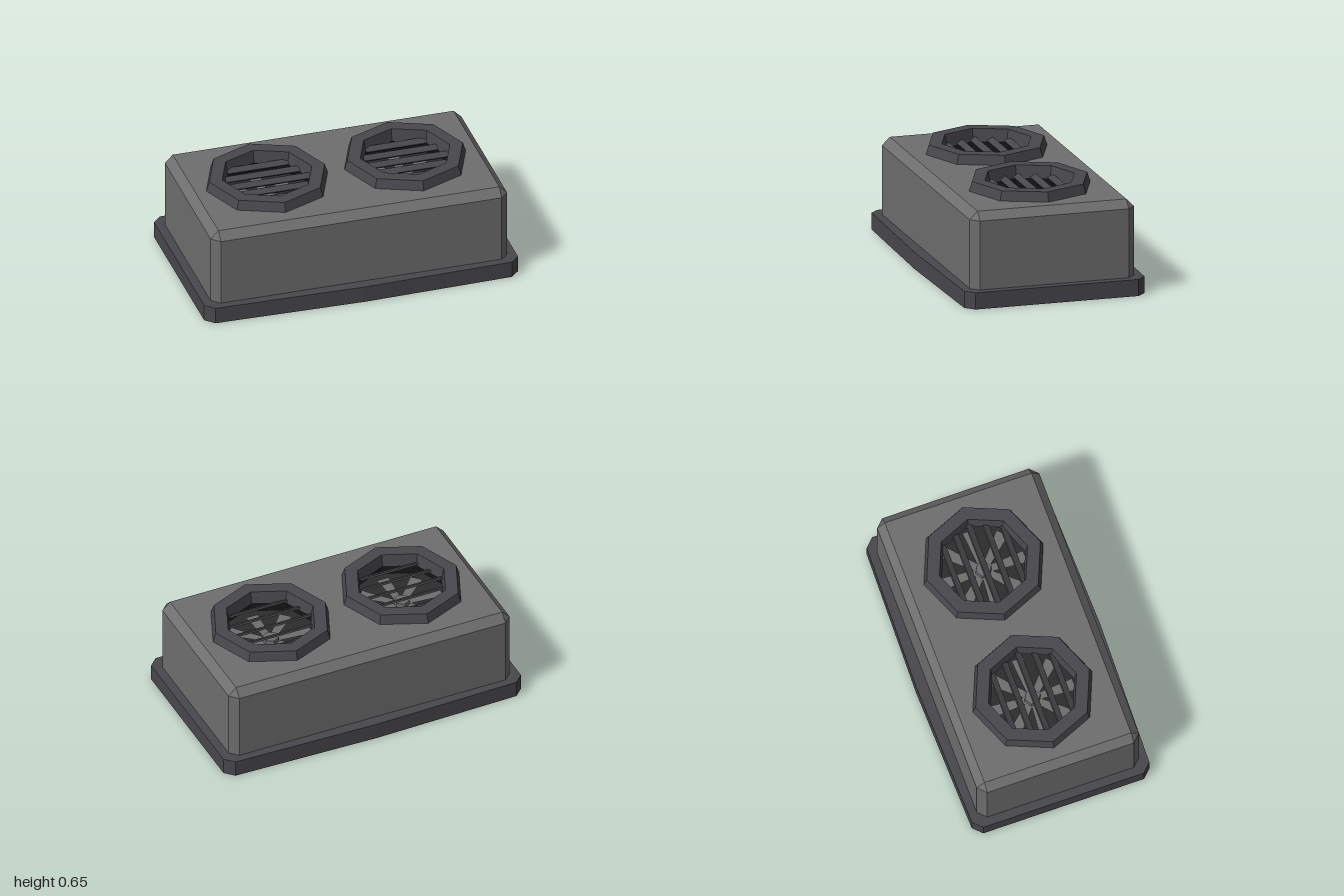
import * as THREE from 'three';

const material = (name, color) => {
  const m = new THREE.MeshStandardMaterial({ color, side: THREE.DoubleSide, flatShading: true });
  m.name = name;
  return m;
};

// Chamfered rectangle in ten points, with optional bulge at the middle of the long sides
function loop(y, hx, hz, chamfer, bulge = 0) {
  const half = [[hx, hz - chamfer], [hx - chamfer, hz], [0, hz + bulge], [chamfer - hx, hz], [-hx, hz - chamfer]];
  return [...half, ...half.map(([x, z]) => [-x, -z])].map(([x, z]) => [x, y, z]);
}

// Joins successive loops with flat quads
function loft(loops) {
  const pos = [];
  for (let k = 0; k < loops.length - 1; k++) {
    const a = loops[k], b = loops[k + 1], n = a.length;
    for (let i = 0; i < n; i++) {
      const j = (i + 1) % n;
      pos.push(...a[i], ...b[i], ...b[j], ...a[i], ...b[j], ...a[j]);
    }
  }
  const g = new THREE.BufferGeometry();
  g.setAttribute('position', new THREE.Float32BufferAttribute(pos, 3));
  g.computeVertexNormals();
  return g;
}

function add(parent, name, geometry, mat, x = 0, y = 0, z = 0) {
  const m = new THREE.Mesh(geometry, mat);
  m.name = name;
  m.position.set(x, y, z);
  parent.add(m);
  return m;
}

export function createModel() {
  const model = new THREE.Group();
  model.name = 'ventUnit';
  const grey = material('casing grey', 0x6e6e6e);
  const frame = material('frame charcoal', 0x48474c);
  const dark = material('recess black', 0x2c2c2c);
  const FAN_X = 0.44, TOP = 0.59;

  // Open skirt with a flat flange, and the hollow casing standing on it
  add(model, 'baseSkirt', loft([
    loop(0, 1, 0.575, 0.055, 0.022), loop(0.105, 1, 0.575, 0.055, 0.022), loop(0.105, 0.945, 0.525, 0.05),
  ]), frame);
  add(model, 'casingWalls', loft([
    loop(0.105, 0.945, 0.525, 0.05), loop(0.54, 0.945, 0.525, 0.05), loop(TOP, 0.895, 0.475, 0),
  ]), grey);

  // Roof with two octagonal openings
  const roof = new THREE.Shape([[-0.895, -0.475], [0.895, -0.475], [0.895, 0.475], [-0.895, 0.475]]
    .map(([x, y]) => new THREE.Vector2(x, y)));
  for (const s of [-1, 1]) {
    const hole = [];
    for (let i = 0; i < 8; i++) {
      const a = i * Math.PI / 4;
      hole.push(new THREE.Vector2(s * FAN_X + 0.3 * Math.cos(a), 0.3 * Math.sin(a)));
    }
    roof.holes.push(new THREE.Path(hole));
  }
  add(model, 'roof', new THREE.ShapeGeometry(roof).rotateX(-Math.PI / 2), grey, 0, TOP);

  for (const s of [-1, 1]) {
    const fan = new THREE.Group();
    fan.name = s > 0 ? 'leftFan' : 'rightFan';
    fan.position.x = s * FAN_X;
    model.add(fan);

    // Raised octagonal surround
    const profile = [[0.387, TOP], [0.368, 0.65], [0.285, 0.65], [0.27, 0.57]];
    add(fan, 'surround', new THREE.LatheGeometry(profile.map(p => new THREE.Vector2(...p)), 8), frame);

    // Recess wall and floor
    const well = [[0.27, 0.57], [0.365, 0.45], [0, 0.45]];
    add(fan, 'recess', new THREE.LatheGeometry(well.map(p => new THREE.Vector2(...p)), 8), dark);

    // Fan blades and hub
    for (let i = 0; i < 8; i++) {
      const blade = new THREE.Shape([[0.02, -0.02], [0.27, -0.04], [0.27, 0.04], [0.02, 0.02]]
        .map(p => new THREE.Vector2(...p)));
      add(fan, 'blade', new THREE.ShapeGeometry(blade).rotateX(-Math.PI / 2), grey, 0, 0.475)
        .rotation.y = i * Math.PI / 4;
    }
    add(fan, 'hub', new THREE.CylinderGeometry(0.05, 0.055, 0.05, 6), grey, 0, 0.48);

    // Tilted slats, each cut to the width of the opening
    for (let i = -2; i <= 2; i++) {
      const z = i * 0.097, half = 0.275 - 0.414 * Math.abs(z);
      add(fan, 'slat', new THREE.BoxGeometry(2 * half, 0.012, 0.042), frame, 0, 0.585, z).rotation.x = 0.5;
    }
  }
  return model;
}
